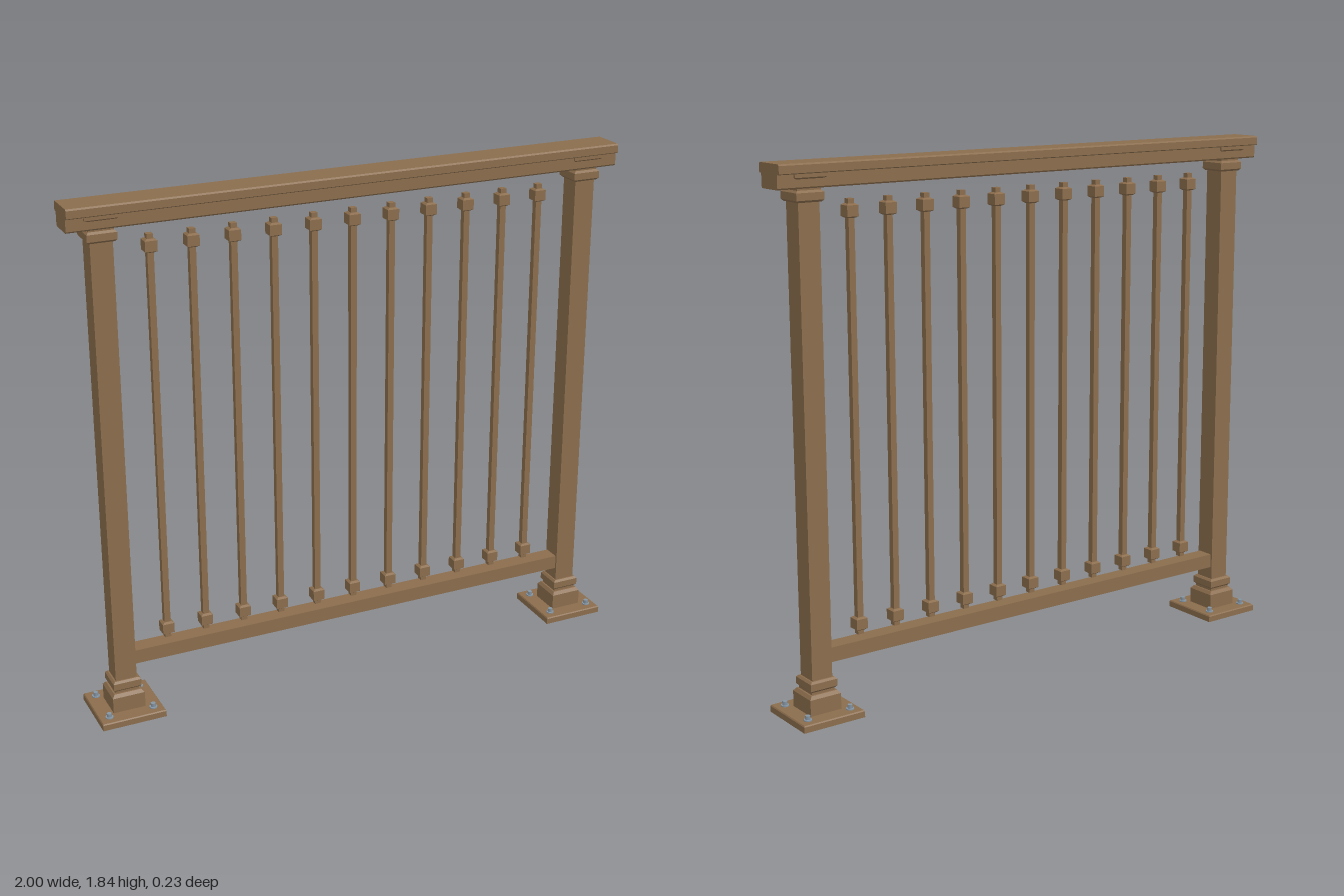
import * as THREE from 'three';

const wood = new THREE.MeshStandardMaterial({ color: 0x8b6d4d });
wood.name = 'brown wood';
const steel = new THREE.MeshStandardMaterial({ color: 0x8595a3 });
steel.name = 'bolt steel';

function part(name, geometry, material = wood) {
  const mesh = new THREE.Mesh(geometry, material);
  mesh.name = name;
  return mesh;
}

// Square turned part: profile of [half width, y] from bottom to top, closed at both ends
function squareTurned(profile) {
  const ring = profile.map(([half, y]) => new THREE.Vector2(half * Math.SQRT2, y));
  const points = [new THREE.Vector2(0, ring[0].y), ...ring, new THREE.Vector2(0, ring[ring.length - 1].y)];
  const geometry = new THREE.LatheGeometry(points, 4, Math.PI / 4).toNonIndexed();
  geometry.computeVertexNormals();
  return geometry;
}

// Bar along x from a half profile of [half depth, y], bottom to top
function bar(halfProfile, length) {
  const right = halfProfile.map(([z, y]) => new THREE.Vector2(z, y));
  const left = halfProfile.map(([z, y]) => new THREE.Vector2(-z, y)).reverse();
  const geometry = new THREE.ExtrudeGeometry(new THREE.Shape([...right, ...left]), { depth: length, bevelEnabled: false });
  return geometry.translate(0, 0, -length / 2).rotateY(Math.PI / 2);
}

function createPost() {
  const post = new THREE.Group();
  post.add(part('postShaft', squareTurned([[0.038, 0.02], [0.038, 1.79]])));
  post.add(part('basePlate', squareTurned([[0.115, 0], [0.115, 0.021], [0.112, 0.025]])));
  post.add(part('baseBlock', squareTurned([[0.058, 0.025], [0.058, 0.081], [0.049, 0.092], [0.043, 0.092], [0.043, 0.105]])));
  const collar = squareTurned([[0.043, 0], [0.05, 0.007], [0.05, 0.031], [0.043, 0.038]]);
  for (const [name, y] of [['lowerCollar', 0.1], ['upperCollar', 1.711]]) {
    const mesh = part(name, collar);
    mesh.position.y = y;
    post.add(mesh);
  }
  post.add(part('capBlock', squareTurned([[0.042, 1.749], [0.042, 1.757], [0.05, 1.785], [0.057, 1.79], [0.057, 1.803]])));

  // Anchor bolts at the plate corners
  const washer = new THREE.CylinderGeometry(0.014, 0.014, 0.004, 16);
  const head = new THREE.CylinderGeometry(0.009, 0.009, 0.014, 6);
  for (const x of [-0.08, 0.08]) {
    for (const z of [-0.077, 0.077]) {
      const bolt = new THREE.Group();
      bolt.name = 'anchorBolt';
      const nut = part('boltHead', head, steel);
      nut.position.y = 0.008;
      bolt.add(part('washer', washer, steel), nut);
      bolt.position.set(x, 0.027, z);
      post.add(bolt);
    }
  }
  return post;
}

export function createModel() {
  const model = new THREE.Group();
  model.name = 'railing';

  for (const side of [-1, 1]) {
    const post = createPost();
    post.name = side > 0 ? 'leftPost' : 'rightPost';
    post.position.x = side * 0.885;
    model.add(post);
  }

  // Handrail: stepped underside carrying a wider cap
  model.add(part('handrailBody', bar([[0.046, 1.755], [0.05, 1.76], [0.05, 1.802]], 2)));
  model.add(part('handrailCap', bar([[0.06, 1.802], [0.063, 1.805], [0.063, 1.83], [0.058, 1.835]], 2)));
  model.add(part('bottomRail', bar([[0.031, 0.185], [0.031, 0.236]], 1.7)));

  // Slim square balusters with a chamfered block near each end
  const shaft = squareTurned([[0.011, 0.25], [0.011, 1.71]]);
  const knuckle = squareTurned([[0.013, -0.023], [0.021, -0.018], [0.021, 0.018], [0.013, 0.023]]);
  for (let i = -5; i <= 5; i++) {
    const baluster = new THREE.Group();
    baluster.name = 'baluster';
    baluster.add(part('balusterShaft', shaft));
    for (const y of [0.287, 1.671]) {
      const block = part('balusterBlock', knuckle);
      block.position.y = y;
      baluster.add(block);
    }
    baluster.position.x = i * 0.1433;
    model.add(baluster);
  }
  return model;
}
